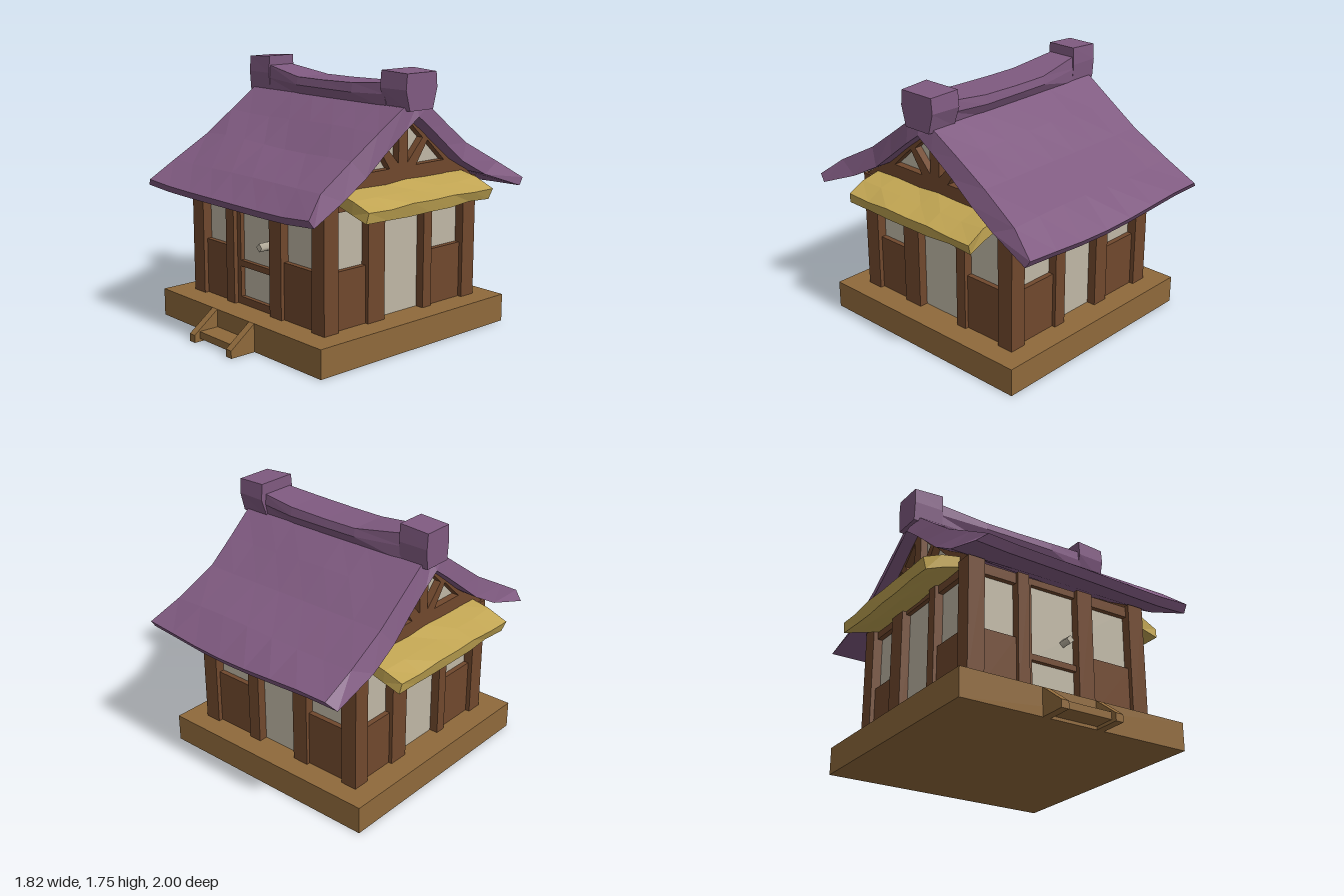
import * as THREE from 'three';

const mat = (name, color) => Object.assign(new THREE.MeshStandardMaterial({ color }), { name });

export function createModel() {
  const roofPurple = mat('roof purple', 0x7f5a80);
  const deckWood = mat('deck wood', 0x8f693b);
  const darkWood = mat('dark wood', 0x70482d);
  const paper = mat('window paper', 0xbfb7a5);
  const straw = mat('awning straw', 0xc0a452);

  const house = new THREE.Group();
  house.name = 'house';

  const add = (parent, name, geometry, material) => {
    const mesh = new THREE.Mesh(geometry, material);
    mesh.name = name;
    parent.add(mesh);
    return mesh;
  };
  const box = (parent, name, material, x0, x1, y0, y1, z0, z1) => {
    const g = new THREE.BoxGeometry(x1 - x0, y1 - y0, z1 - z0);
    g.translate((x0 + x1) / 2, (y0 + y1) / 2, (z0 + z1) / 2);
    return add(parent, name, g, material);
  };
  const shapeOf = (pts) => new THREE.Shape(pts.map(([x, y]) => new THREE.Vector2(x, y)));

  // Faceted solid through closed rings of [x, y, z], ordered along +x;
  // ring point k is capped against point n-1-k
  const loft = (rings) => {
    const pos = [];
    const quad = (a, b, c, d) => pos.push(...a, ...b, ...c, ...a, ...c, ...d);
    const n = rings[0].length;
    for (let i = 0; i < rings.length - 1; i++) {
      for (let k = 0; k < n; k++) {
        const m = (k + 1) % n;
        quad(rings[i][k], rings[i][m], rings[i + 1][m], rings[i + 1][k]);
      }
    }
    const first = rings[0], last = rings[rings.length - 1];
    for (let k = 0; k < n / 2 - 1; k++) {
      quad(last[k], last[k + 1], last[n - 2 - k], last[n - 1 - k]);
      quad(first[n - 1 - k], first[n - 2 - k], first[k + 1], first[k]);
    }
    const g = new THREE.BufferGeometry();
    g.setAttribute('position', new THREE.Float32BufferAttribute(pos, 3));
    g.computeVertexNormals();
    return g;
  };
  const wobble = (a, b) => Math.sin(a * 7.3 + b * 4.1 + 1) * Math.cos(a * 3.1 - b * 5.7);

  // Deck and front steps
  box(house, 'deck', deckWood, -0.81, 0.81, 0, 0.185, -0.8, 0.82);
  for (const x of [-0.2, 0.185]) {
    const side = shapeOf([[0.81, 0], [1, 0], [1, 0.05], [0.82, 0.185], [0.81, 0.185]]);
    const g = new THREE.ExtrudeGeometry(side, { depth: 0.053, bevelEnabled: false });
    g.rotateY(-Math.PI / 2);
    add(house, 'stepSide', g, deckWood).position.x = x;
  }
  box(house, 'stepTread', deckWood, -0.2, 0.132, 0.02, 0.067, 0.82, 0.96);

  // Paper core seen through the wall openings, and corner posts
  box(house, 'paperCore', paper, -0.6, 0.6, 0.185, 0.99, -0.6, 0.6);
  for (const sx of [-1, 1]) for (const sz of [-1, 1]) {
    const post = box(house, 'cornerPost', darkWood, -0.0575, 0.0575, 0.185, 1, -0.0575, 0.0575);
    post.position.set(sx * 0.6075, 0, sz * 0.6075);
  }

  // One wall: [left post from, door from, door to, right post to]
  const wall = (name, angle, [l0, l1, r0, r1]) => {
    const g = new THREE.Group();
    g.name = name;
    g.rotation.y = angle;
    house.add(g);
    box(g, 'doorPost', darkWood, l0, l1, 0.185, 0.99, 0.56, 0.66);
    box(g, 'doorPost', darkWood, r0, r1, 0.185, 0.99, 0.56, 0.66);
    box(g, 'doorHeader', darkWood, l1, r0, 0.945, 0.99, 0.58, 0.63);
    for (const [a, b] of [[-0.56, l0], [r1, 0.56]]) {
      box(g, 'lowerPanel', darkWood, a, b, 0.185, 0.557, 0.58, 0.635);
      box(g, 'windowHeader', darkWood, a, b, 0.92, 0.99, 0.58, 0.635);
    }
    return g;
  };
  const sideWall = [-0.3, -0.16, 0.185, 0.26];
  const front = wall('frontWall', 0, [-0.307, -0.225, 0.14, 0.255]);
  wall('backWall', Math.PI, [-0.255, -0.165, 0.14, 0.255]);
  const sides = [
    wall('leftWall', Math.PI / 2, sideWall),
    wall('rightWall', -Math.PI / 2, sideWall),
  ];

  // Front door frame and handle
  box(front, 'doorStile', darkWood, -0.225, -0.19, 0.185, 0.945, 0.58, 0.63);
  box(front, 'doorRail', darkWood, -0.19, 0.14, 0.44, 0.48, 0.58, 0.63);
  box(front, 'doorRail', darkWood, -0.19, 0.14, 0.185, 0.235, 0.58, 0.63);
  const handle = new THREE.CylinderGeometry(0.028, 0.028, 0.08, 4);
  handle.rotateX(Math.PI / 2);
  add(front, 'doorHandle', handle, paper).position.set(0.065, 0.62, 0.64);

  // Gable trusses and awnings on both sides
  for (const g of sides) {
    const triangle = [[-0.66, 0.99], [0.66, 0.99], [0, 1.48]];
    const truss = shapeOf(triangle);
    for (const s of [-1, 1]) {
      truss.holes.push(shapeOf([[0.115 * s, 1.135], [0.37 * s, 1.135], [0.215 * s, 1.28]]));
      truss.holes.push(shapeOf([[0.04 * s, 1.16], [0.17 * s, 1.3], [0.04 * s, 1.42]]));
    }
    const frame = new THREE.ExtrudeGeometry(truss, { depth: 0.06, bevelEnabled: false });
    add(g, 'gableTruss', frame, darkWood).position.z = 0.59;
    add(g, 'gablePaper', new THREE.ShapeGeometry(shapeOf(triangle)), paper).position.z = 0.6;

    const profile = [[0.62, 1.055], [0.78, 1.012], [0.905, 0.965],
      [0.885, 0.892], [0.77, 0.94], [0.62, 0.975]];
    const rings = [-0.54, -0.36, -0.18, 0, 0.18, 0.36, 0.54].map((x) =>
      profile.map(([z, y], k) => [x + (k === 2 ? 0.012 : 0),
        y + 0.009 * wobble(x * 1.5, k), z + 0.006 * wobble(k, x)]));
    add(g, 'awning', loft(rings), straw);
  }

  // Sagging thatch roof: half profiles [z, y] for the upper and under sides
  const upper = [[0, 1.53], [0.11, 1.52], [0.3, 1.383], [0.5, 1.24], [0.77, 1.09], [0.965, 0.98]];
  const under = [[0, 1.46], [0.11, 1.38], [0.27, 1.255], [0.42, 1.135], [0.62, 1.025], [0.93, 0.93]];
  const rightTop = [0.76, 0.755, 0.735, 0.72, 0.755, 0.825];
  const rightLow = [0.78, 0.775, 0.765, 0.765, 0.785, 0.83];
  const leftTop = [-0.7, -0.7, -0.705, -0.71, -0.715, -0.715];
  const leftLow = [-0.74, -0.74, -0.745, -0.755, -0.765, -0.78];
  const roofRings = [];
  const steps = 7;
  for (let i = 0; i <= steps; i++) {
    const t = i / steps;
    const point = (pts, left, right, k, s) => {
      const [z, y] = pts[k];
      const x = left[k] + (right[k] - left[k]) * t;
      const ends = i === 0 || i === steps;
      const lump = ends || k < 2 ? 0 : 0.011 * wobble(i * 1.3, k + s);
      const eave = k === 5 ? 1 : 0;
      const shift = eave * (s > 0 ? -0.045 * t * t : 0.03 - 0.04 * t * t);
      const sag = eave * -0.022 * Math.sin(Math.PI * t);
      return [x, y + lump + sag - eave * 0.012 * t, s * (z + shift)];
    };
    const half = (pts, l, r) => [
      ...[5, 4, 3, 2, 1].map((k) => point(pts, l, r, k, -1)),
      ...[0, 1, 2, 3, 4, 5].map((k) => point(pts, l, r, k, 1)),
    ];
    roofRings.push([...half(upper, leftTop, rightTop), ...half(under, leftLow, rightLow).reverse()]);
  }
  add(house, 'roof', loft(roofRings), roofPurple);

  // Ridge beam and end blocks: [x, half width, mid height, top height]
  const ridgeRing = ([x, w, mid, top]) => {
    const b = Math.min(0.1, w);
    return [[-b, 1.5], [-w, mid], [-w * 0.93, top], [w * 0.93, top], [w, mid], [b, 1.5]]
      .map(([z, y]) => [x, y, z]);
  };
  const ridge = [[-0.56, 0.1, 1.6, 1.685], [-0.2, 0.142, 1.58, 1.633], [0.04, 0.145, 1.58, 1.633],
    [0.33, 0.145, 1.58, 1.64], [0.6, 0.12, 1.59, 1.662]];
  add(house, 'ridgeBeam', loft(ridge.map(ridgeRing)), roofPurple);
  const leftBlock = [[-0.74, 0.11, 1.63, 1.732], [-0.53, 0.11, 1.63, 1.745]];
  const rightBlock = [[0.58, 0.147, 1.63, 1.737], [0.79, 0.135, 1.63, 1.728]];
  add(house, 'ridgeEndBlock', loft(leftBlock.map(ridgeRing)), roofPurple);
  add(house, 'ridgeEndBlock', loft(rightBlock.map(ridgeRing)), roofPurple).position.z = -0.01;

  return house;
}
